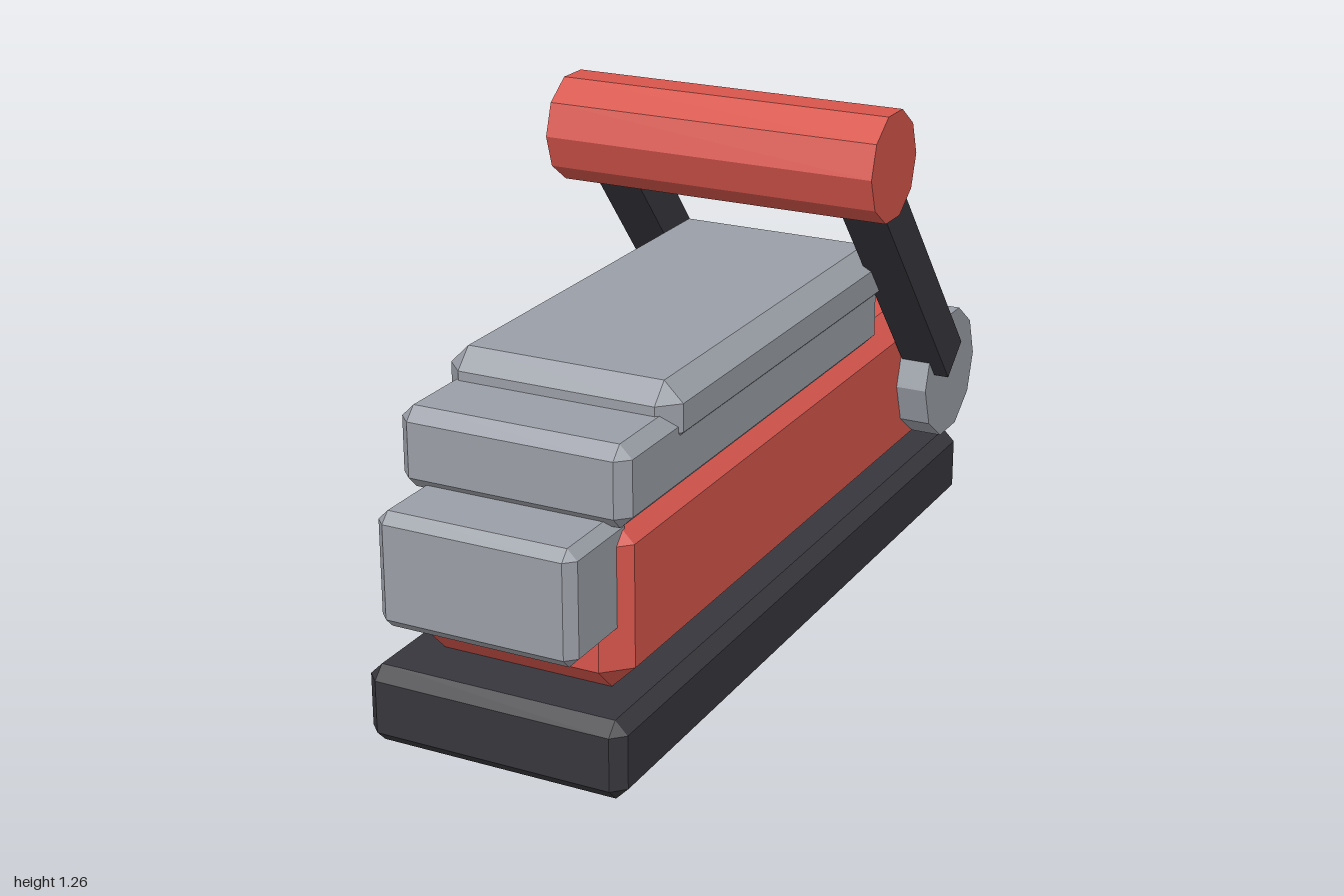
import * as THREE from 'three';
import { ConvexGeometry } from 'three/addons/geometries/ConvexGeometry.js';

const material = (name, color) => {
  const m = new THREE.MeshStandardMaterial({ color, flatShading: true });
  m.name = name;
  return m;
};

// Box with flat chamfers, given by half width and its y and z limits
function chamferBox(hx, y0, y1, z0, z1, b) {
  const hy = (y1 - y0) / 2, hz = (z1 - z0) / 2, points = [];
  for (const sx of [-1, 1]) for (const sy of [-1, 1]) for (const sz of [-1, 1]) {
    points.push(
      new THREE.Vector3(sx * hx, sy * (hy - b), sz * (hz - b)),
      new THREE.Vector3(sx * (hx - b), sy * hy, sz * (hz - b)),
      new THREE.Vector3(sx * (hx - b), sy * (hy - b), sz * hz));
  }
  return new ConvexGeometry(points).translate(0, (y0 + y1) / 2, (z0 + z1) / 2);
}

// Ten-sided bar lying along x, with corners pointing to +z and -z
function crossBar(radius, length) {
  return new THREE.CylinderGeometry(radius, radius, length, 10).rotateZ(Math.PI / 2);
}

export function createModel() {
  const group = new THREE.Group();
  const red = material('red', 0xd6554c);
  const grey = material('grey', 0x9a9ea6);
  const dark = material('charcoal', 0x37363c);

  const add = (name, geometry, mat, x = 0, y = 0, z = 0) => {
    const mesh = new THREE.Mesh(geometry, mat);
    mesh.name = name;
    mesh.position.set(x, y, z);
    group.add(mesh);
    return mesh;
  };

  // Stacked body
  add('base', chamferBox(0.322, 0.003, 0.19, -0.985, 0.945, 0.03), dark);
  add('body', chamferBox(0.27, 0.19, 0.595, -0.99, 0.84, 0.058), red);
  add('nose', chamferBox(0.242, 0.325, 0.595, 0.75, 1.0, 0.024), grey);
  add('lowerSlide', chamferBox(0.282, 0.582, 0.772, -0.502, 0.84, 0.03), grey);
  add('upperSlide', chamferBox(0.29, 0.682, 0.84, -0.53, 0.64, 0.046), grey);

  // Hinge and handle
  const hinge = new THREE.Vector3(0, 0.408, -0.83);
  const grip = new THREE.Vector3(0, 1.131, -0.215);
  add('hinge', crossBar(0.17, 0.70), grey, 0, hinge.y, hinge.z);
  add('grip', crossBar(0.135, 0.855), red, 0, grip.y, grip.z);

  // Arms leaning from the hinge to the grip
  const foot = new THREE.Vector3(0, 0.47, -0.763);
  const length = foot.distanceTo(grip) - 0.04;
  const lean = Math.atan2(grip.z - foot.z, grip.y - foot.y);
  for (const [side, sign] of [['left', 1], ['right', -1]]) {
    const arm = new THREE.BoxGeometry(0.115, length, 0.112).translate(0, length / 2, 0);
    add(side + 'Arm', arm, dark, sign * 0.331, foot.y, foot.z).rotation.x = lean;
  }
  return group;
}
